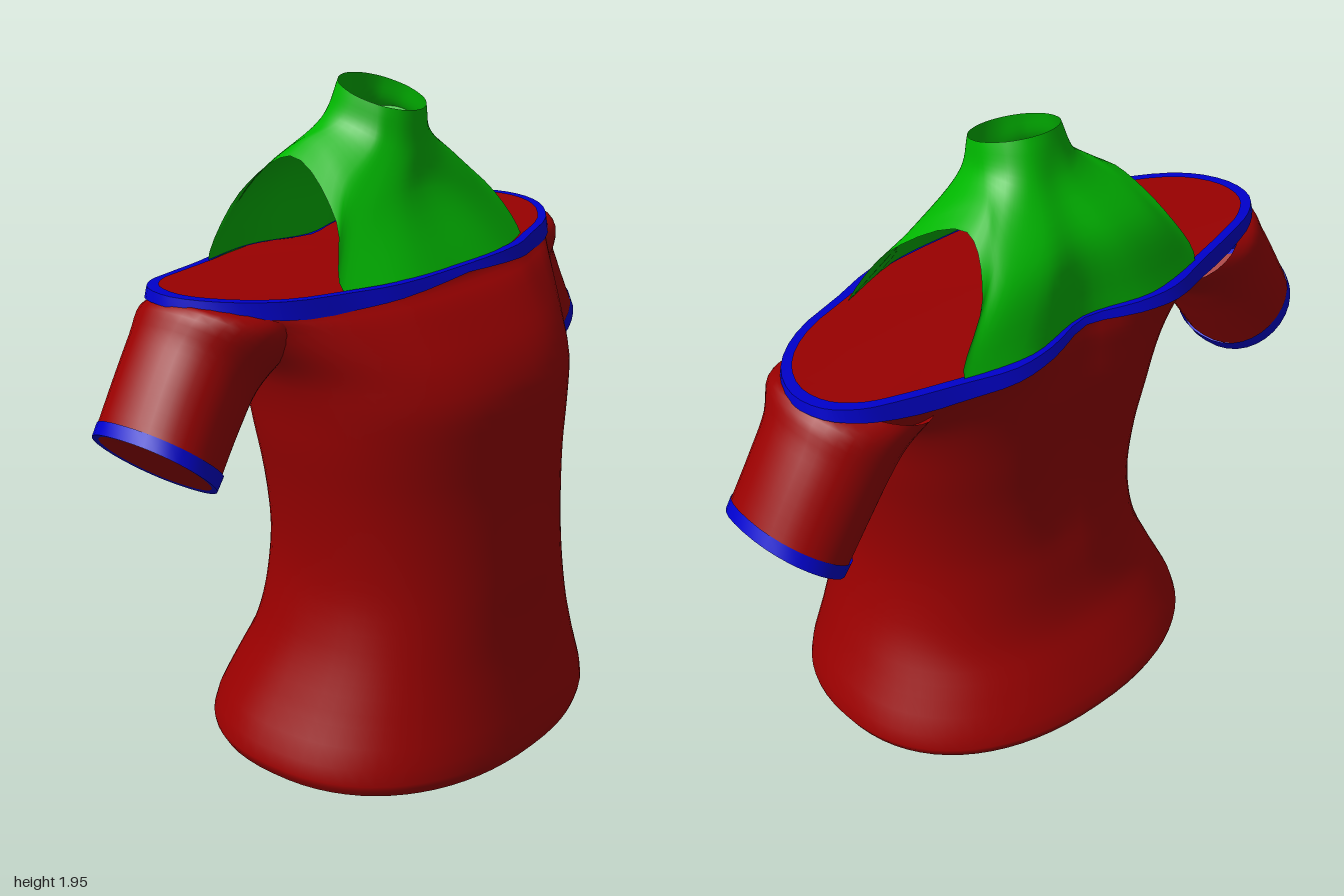
import * as THREE from 'three';

const V = (x, y, z) => new THREE.Vector3(x, y, z);
const mat = (name, color) => {
  const m = new THREE.MeshStandardMaterial({ color, side: THREE.DoubleSide });
  m.name = name;
  return m;
};

// Closed loop from its left half, listed front centre to back centre.
function mirrorLoop(half, n) {
  const left = half.map(p => V(...p));
  const right = left.slice(1, -1).reverse().map(p => V(-p.x, p.y, p.z));
  const curve = new THREE.CatmullRomCurve3([...left, ...right], true, 'centripetal');
  return Array.from({ length: n }, (_, i) => curve.getPoint(i / n));
}

// Adds smooth in-between rows to a stack of rings.
function refine(rows, n) {
  const cols = rows[0].map((_, i) => new THREE.CatmullRomCurve3(rows.map(r => r[i]), false, 'centripetal'));
  return Array.from({ length: n + 1 }, (_, k) => cols.map(c => c.getPoint(k / n)));
}

function geometry(points, index) {
  const g = new THREE.BufferGeometry().setFromPoints(points);
  g.setIndex(index);
  g.computeVertexNormals();
  return g;
}

// Skin over closed rings, stacked from bottom to top.
function loft(rows) {
  const n = rows[0].length, index = [];
  for (let r = 0; r < rows.length - 1; r++) {
    for (let i = 0; i < n; i++) {
      const a = r * n + i, b = r * n + (i + 1) % n;
      index.push(a, b, a + n, b, b + n, a + n);
    }
  }
  return geometry(rows.flat(), index);
}

// Fan that closes a ring, facing up or down.
function cap(ring, center, up) {
  const n = ring.length, index = [];
  for (let i = 0; i < n; i++) {
    const j = (i + 1) % n;
    index.push(...(up ? [n, i, j] : [n, j, i]));
  }
  return geometry([...ring, center], index);
}

// Rounded-square version of a sine or cosine value
const squared = v => Math.sign(v) * Math.abs(v) ** .88;

export function createModel() {
  const group = new THREE.Group();
  const red = mat('red cloth', 0x990000);
  const green = mat('green cloth', 0x00b600);
  const blue = mat('blue trim', 0x0000cc);
  const add = (name, geo, material) => {
    const m = new THREE.Mesh(geo, material);
    m.name = name;
    group.add(m);
  };

  // Off-shoulder neckline
  const N = 72;
  const rim = mirrorLoop([
    [0, 1.45, .225], [.28, 1.45, .21], [.43, 1.45, .16], [.62, 1.455, .09], [.75, 1.465, -.02],
    [.8, 1.47, -.14], [.78, 1.473, -.24], [.71, 1.47, -.3], [.62, 1.465, -.33], [.44, 1.458, -.375],
    [.29, 1.457, -.415], [.16, 1.457, -.405], [0, 1.455, -.36]], N);

  // Torso rows: y, half width, front z, back z, blend towards the neckline
  const profile = [
    [.003, .615, .49, -.49, 0], [.04, .63, .5, -.5, 0], [.2, .57, .482, -.44, 0],
    [.32, .525, .468, -.385, 0], [.42, .495, .462, -.358, 0], [.55, .47, .457, -.34, 0],
    [.68, .468, .45, -.328, 0], [.85, .487, .443, -.335, 0], [1.0, .515, .445, -.355, 0],
    [1.12, .535, .44, -.372, 0], [1.22, .54, .42, -.385, .1], [1.31, .55, .395, -.39, .35],
    [1.38, .55, .37, -.4, .65], [1.425, .55, .3, -.4, 1], [1.455, .55, .3, -.4, 1]];
  const torsoRows = profile.map(([y, hw, zf, zb, f]) => rim.map((p, i) => {
    const a = i / N * Math.PI * 2;
    const x = hw * squared(Math.sin(a));
    let z = (zf + zb) / 2 + (zf - zb) / 2 * squared(Math.cos(a));
    // Hollow along the spine
    if (Math.cos(a) < 0 && y > .5) z += .03 * Math.min(1, (y - .5) * 2) * Math.exp(-x * x / .01);
    // The hem rises towards the back
    const lift = .04 * (zf - z) / (zf - zb) * Math.max(0, 1 - y / .4);
    return V(x, y + lift, z).lerp(V(p.x, y + p.y - 1.46, p.z), f);
  }));
  add('torso', loft(refine(torsoRows, 42)), red);
  add('hemBase', cap(torsoRows[0], V(0, .023, 0), false), red);
  add('shoulderOpening', cap(torsoRows.at(-1), V(0, 1.458, -.1), true), red);

  // Neckline trim, with a flat top lip
  const ringAt = (sx, sz, dy) => rim.map(p => V(p.x * sx, p.y + dy, (p.z + .1) * sz - .1));
  const lower = ringAt(1.012, 1.045, 0).map(p => {
    const side = Math.abs(p.x);
    p.y -= .02 + .032 * Math.min(1, side / .5) - .022 * Math.max(0, side - .6) / .2;
    return p;
  });
  add('necklineTrim', loft([lower, ringAt(1.006, 1.01, 0)]), blue);
  add('necklineLip', loft([ringAt(1.006, 1.01, 0), ringAt(.965, .93, 0)]), blue);

  // Sleeves: outer x, y, inner x, y, front z, back z, from cuff to shoulder
  const sleeve = [
    [.985, 1.15, .735, .945, .03, -.34], [.91, 1.28, .655, 1.06, .03, -.34],
    [.852, 1.375, .585, 1.16, .04, -.342], [.808, 1.445, .52, 1.24, .085, -.35],
    [.74, 1.45, .42, 1.3, .1, -.345]];
  const cuff = [[1.0, 1.13, .75, .915, .033, -.343], [.981, 1.163, .722, .951, .033, -.343]];
  const cuffInside = [.984, 1.121, .763, .928, .016, -.326];
  const tubeRings = (rows, s) => rows.map(([ox, oy, ix, iy, zf, zb]) => {
    const ring = Array.from({ length: 32 }, (_, i) => {
      const a = i / 32 * Math.PI * 2, k = Math.sin(a) / 2;
      return V(s * ((ox + ix) / 2 + (ox - ix) * k), (oy + iy) / 2 + (oy - iy) * k,
        (zf + zb) / 2 + (zf - zb) / 2 * squared(Math.cos(a)));
    });
    return s < 0 ? ring.reverse() : ring;
  });
  for (const [side, s] of [['left', 1], ['right', -1]]) {
    const [inside, edge] = tubeRings([cuffInside, cuff[0]], s);
    add(side + 'Sleeve', loft(refine(tubeRings(sleeve, s), 16)), red);
    add(side + 'CuffTrim', loft(tubeRings(cuff, s)), blue);
    add(side + 'CuffLip', loft([inside, edge]), blue);
    add(side + 'CuffBase', cap(inside, V(s * .867, 1.032, -.155), false), red);
  }

  // Halter yoke: lower edge with armholes, chest, neck base, collar
  const yokeHalves = [
    [[0, 1.445, .21], [.22, 1.445, .2], [.425, 1.445, .13], [.35, 1.61, .045], [.265, 1.75, -.19],
      [.33, 1.64, -.325], [.425, 1.455, -.365], [.22, 1.455, -.4], [0, 1.455, -.355]],
    [[0, 1.65, .085], [.13, 1.64, .09], [.26, 1.63, .06], [.26, 1.7, 0], [.2, 1.793, -.17],
      [.24, 1.73, -.27], [.26, 1.66, -.335], [.13, 1.66, -.355], [0, 1.66, -.335]],
    [[0, 1.76, .065], [.06, 1.76, .055], [.1, 1.78, .03], [.125, 1.8, 0], [.14, 1.84, -.11],
      [.125, 1.84, -.18], [.1, 1.83, -.215], [.06, 1.82, -.235], [0, 1.82, -.235]],
    [0, 25, 45, 60, 90, 120, 135, 155, 180].map(d => {
      const a = d * Math.PI / 180, z = -.07 + .13 * Math.cos(a);
      return [.118 * Math.sin(a), 1.888 - .31 * z, z];
    })];
  const yokeRows = yokeHalves.map(h => mirrorLoop(h, 80));
  add('halterYoke', loft(refine(yokeRows, 18)), green);
  add('neckBase', cap(yokeRows[2], V(0, 1.69, 0), true), green);

  return group;
}
